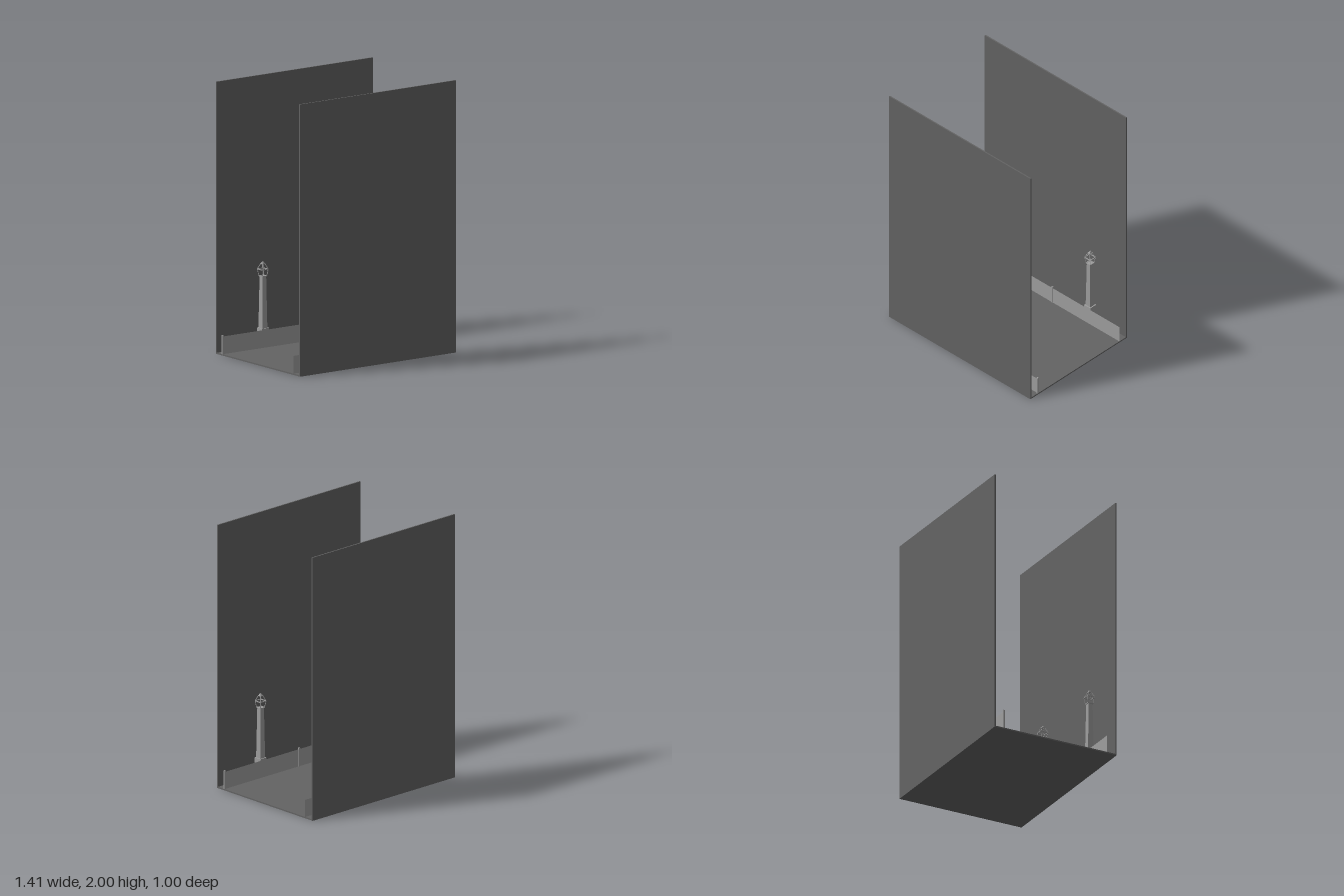
import * as THREE from 'three';

const dark = new THREE.MeshStandardMaterial({ color: 0x636363, flatShading: true });
const light = new THREE.MeshStandardMaterial({ color: 0x9e9e9e, flatShading: true });
const lightThin = new THREE.MeshStandardMaterial({ color: 0x9e9e9e, side: THREE.DoubleSide });

function add(parent, name, geometry, material, x = 0, y = 0, z = 0) {
  const mesh = new THREE.Mesh(geometry, material);
  mesh.name = name;
  mesh.position.set(x, y, z);
  parent.add(mesh);
  return mesh;
}

// Four-sided tapered block, widths measured across the flats
function taper(topWidth, bottomWidth, height) {
  return new THREE.CylinderGeometry(topWidth / Math.SQRT2, bottomWidth / Math.SQRT2, height, 4)
    .rotateY(Math.PI / 4);
}

// Square bar between two points
function bar(parent, name, a, b, width) {
  const dir = b.clone().sub(a);
  const mesh = add(parent, name, new THREE.BoxGeometry(width, dir.length(), width), light);
  mesh.position.copy(a).add(b).multiplyScalar(0.5);
  mesh.quaternion.setFromUnitVectors(new THREE.Vector3(0, 1, 0), dir.normalize());
}

function createLamp() {
  const lamp = new THREE.Group();
  lamp.name = 'streetLamp';
  add(lamp, 'pedestal', new THREE.BoxGeometry(0.062, 0.14, 0.062), light, 0, 0.08, 0);
  add(lamp, 'shaft', taper(0.034, 0.046, 0.38), light, 0, 0.34, 0);

  // Open lantern frame: rings joined by sloping corner bars
  const lantern = new THREE.Group();
  lantern.name = 'lantern';
  lamp.add(lantern);
  const rings = [[0.53, 0.02], [0.58, 0.028], [0.62, 0.011]];
  const corner = ([y, r], i) => {
    const a = Math.PI / 4 + i * Math.PI / 2;
    return new THREE.Vector3(Math.SQRT2 * r * Math.cos(a), y, Math.SQRT2 * r * Math.sin(a));
  };
  rings.forEach((ring, k) => {
    for (let i = 0; i < 4; i++) {
      bar(lantern, 'lanternRing', corner(ring, i), corner(ring, i + 1), 0.006);
      if (k < 2) bar(lantern, 'lanternCornerBar', corner(ring, i), corner(rings[k + 1], i), 0.004);
    }
  });
  add(lantern, 'lanternCap', taper(0.016, 0.024, 0.008), light, 0, 0.624, 0);
  add(lantern, 'finial', taper(0.008, 0.016, 0.008), light, 0, 0.632, 0);
  return lamp;
}

// One side: wall, low fence and two lamps, laid out for the front (+z)
function createSide(name) {
  const side = new THREE.Group();
  side.name = name;
  add(side, 'wall', new THREE.BoxGeometry(1.406, 1.99, 0.01), dark, 0, 1.005, 0.497);
  add(side, 'fencePanel', new THREE.PlaneGeometry(1.406, 0.135), lightThin, 0, 0.0725, 0.423);
  for (const x of [-0.035, 0.699]) {
    add(side, 'fencePost', new THREE.BoxGeometry(0.012, 0.14, 0.012), light, x, 0.08, 0.424);
  }
  for (const x of [-0.378, 0.312]) {
    const lamp = createLamp();
    lamp.position.set(x, 0, 0.459);
    side.add(lamp);
  }
  return side;
}

export function createModel() {
  const model = new THREE.Group();
  model.name = 'streetSection';
  add(model, 'floor', new THREE.BoxGeometry(1.406, 0.01, 1.004), dark, 0, 0.005, 0);

  // The back side is the front side turned half way round
  const back = createSide('backSide');
  back.rotation.y = Math.PI;
  model.add(createSide('frontSide'), back);
  return model;
}
